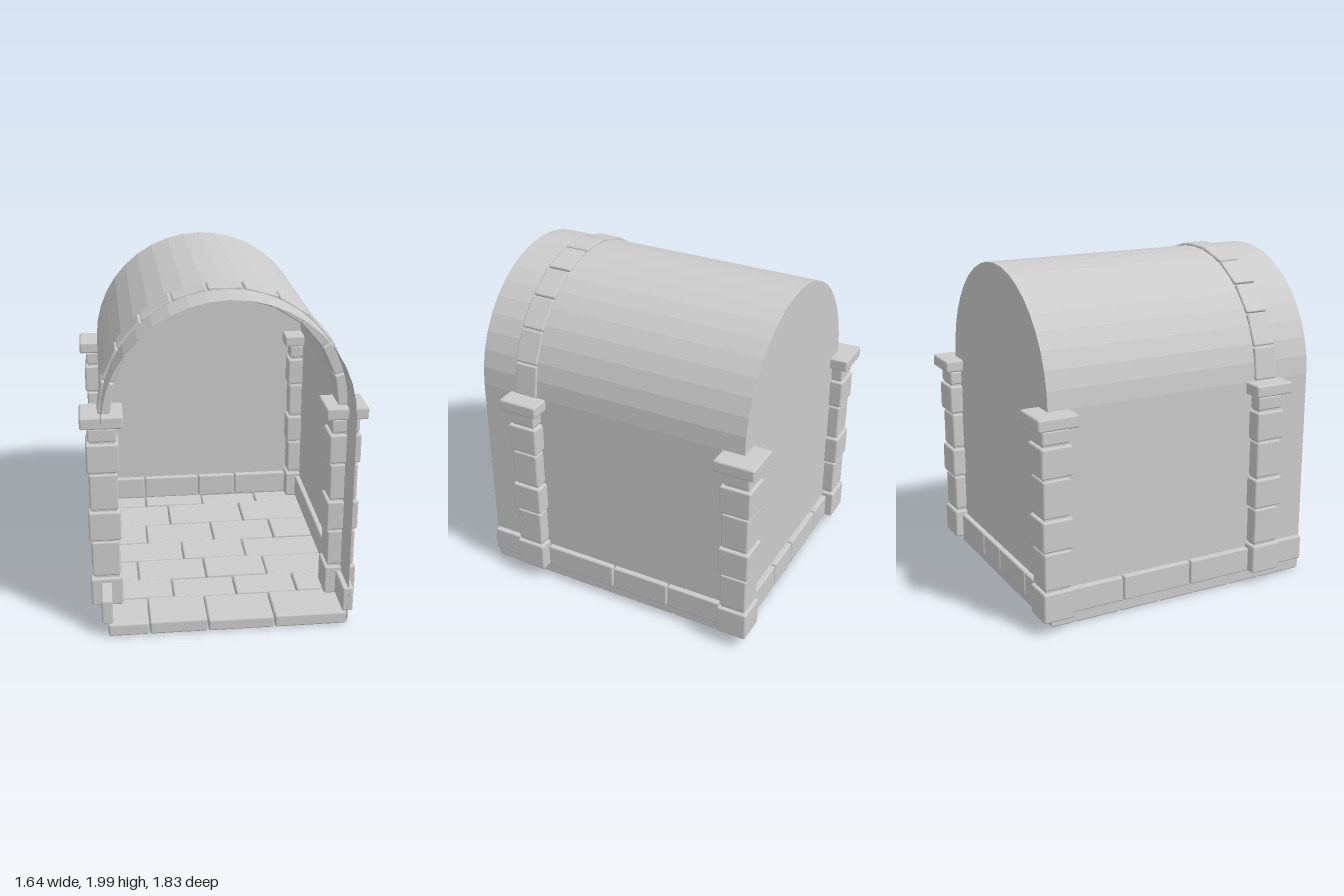
import * as THREE from 'three';
import { RoundedBoxGeometry } from 'three/addons/geometries/RoundedBoxGeometry.js';

const stone = new THREE.MeshStandardMaterial({ color: 0xcccccc });
const shellStone = new THREE.MeshStandardMaterial({ color: 0xcccccc, side: THREE.DoubleSide, flatShading: true });

const HALF = 0.7, SPRING = 1.285, BACK = -0.8, FRONT = 0.915;

// Chamfered stone given by its min and max corners
function block(name, x0, x1, y0, y1, z0, z1, bevel = 0.01) {
  const mesh = new THREE.Mesh(new RoundedBoxGeometry(x1 - x0, y1 - y0, z1 - z0, 1, bevel), stone);
  mesh.position.set((x0 + x1) / 2, (y0 + y1) / 2, (z0 + z1) / 2);
  mesh.name = name;
  return mesh;
}

// Thin tunnel shell (walls and vault) and the flat wall closing its back
function makeShell() {
  const shell = new THREE.Group();
  shell.name = 'shell';
  const outline = [new THREE.Vector2(HALF, 0.015)];
  const steps = 20;
  for (let i = 0; i <= steps; i++) {
    const a = (i / steps) * Math.PI;
    outline.push(new THREE.Vector2(HALF * Math.cos(a), SPRING + HALF * Math.sin(a)));
  }
  outline.push(new THREE.Vector2(-HALF, 0.015));

  const pos = [], index = [];
  outline.forEach((p, i) => {
    pos.push(p.x, p.y, FRONT, p.x, p.y, BACK);
    if (i) {
      const a = 2 * (i - 1);
      index.push(a, a + 1, a + 2, a + 1, a + 3, a + 2);
    }
  });
  const geo = new THREE.BufferGeometry();
  geo.setAttribute('position', new THREE.Float32BufferAttribute(pos, 3));
  geo.setIndex(index);
  geo.computeVertexNormals();
  const vault = new THREE.Mesh(geo, shellStone);
  vault.name = 'vault';

  const back = new THREE.Mesh(new THREE.ShapeGeometry(new THREE.Shape(outline)), shellStone);
  back.name = 'backWall';
  back.position.z = BACK;
  shell.add(vault, back);
  return shell;
}

// Paving in staggered rows
function makeFloor() {
  const floor = new THREE.Group();
  floor.name = 'floor';
  const rows = [FRONT, 0.62, 0.4, 0.15, -0.09, -0.36, -0.65, BACK];
  const joints = [
    [-0.46, -0.12, 0.27], [-0.3, 0.08, 0.45], [-0.5, -0.08, 0.3], [-0.2, 0.2],
    [-0.42, 0.02, 0.42], [-0.25, 0.25], [-0.4, 0.0, 0.38],
  ];
  joints.forEach((row, r) => {
    const xs = [-HALF, ...row, HALF];
    for (let i = 1; i < xs.length; i++) {
      const top = 0.074 + 0.004 * ((i + r) % 3);
      floor.add(block('pavingSlab', xs[i - 1] + 0.003, xs[i] - 0.003, 0.002, top,
        rows[r + 1] + 0.003, rows[r] - 0.003, 0.012));
    }
  });
  return floor;
}

// Low course of stones around the foot of the walls
function makeSkirting() {
  const group = new THREE.Group();
  group.name = 'skirting';
  const sides = [[1, [BACK, -0.335, 0.04, 0.51, FRONT]], [-1, [BACK, -0.35, 0.1, 0.56, FRONT]]];
  for (const [s, zs] of sides) {
    for (let i = 1; i < zs.length; i++) {
      group.add(block('sideSkirtingStone', s * 0.7 - 0.032, s * 0.7 + 0.032, 0.085, 0.236,
        zs[i - 1] + 0.004, zs[i] - 0.004));
    }
  }
  const xs = [-HALF, -0.4, -0.02, 0.24, HALF];
  for (let i = 1; i < xs.length; i++) {
    group.add(block('backSkirtingStone', xs[i - 1] + 0.004, xs[i] - 0.004, 0.085, 0.236, -0.832, -0.768));
  }
  return group;
}

// Pillar of alternating wide and narrow stones with a cap slab
function makePillar(x, z) {
  const pillar = new THREE.Group();
  pillar.name = 'pillar';
  const courses = [
    [0.085, 0.263, 0.094], [0.275, 0.497, 0.083], [0.508, 0.69, 0.094], [0.7, 0.922, 0.083],
    [0.934, 1.11, 0.094], [1.12, 1.203, 0.083], [1.212, 1.285, 0.123],
  ];
  courses.forEach(([y0, y1, h], i) =>
    pillar.add(block(i === 6 ? 'pillarCap' : 'pillarStone', -h, h, y0, y1, -h, h, 0.012)));
  const core = new THREE.Mesh(new THREE.BoxGeometry(0.145, 1.14, 0.145), stone);
  core.name = 'pillarCore';
  core.position.y = 0.67;
  pillar.add(core);
  pillar.position.set(x, 0, z);
  return pillar;
}

// Ring of wedge stones springing from the front pillars
function makeArch() {
  const arch = new THREE.Group();
  arch.name = 'arch';
  const count = 11, step = Math.PI / count, mid = 0.675, thick = 0.072;
  const width = 2 * mid * Math.tan(step / 2) - 0.008;
  const geo = new RoundedBoxGeometry(width, thick, 0.146, 1, 0.01);
  const p = geo.attributes.position;
  for (let i = 0; i < p.count; i++) p.setX(i, p.getX(i) * (1 + p.getY(i) / mid));
  for (let i = 0; i < count; i++) {
    const a = (i + 0.5) * step;
    const stoneMesh = new THREE.Mesh(geo, stone);
    stoneMesh.name = 'archStone';
    stoneMesh.position.set(mid * Math.cos(a), SPRING + mid * Math.sin(a), 0.61);
    stoneMesh.rotation.z = a - Math.PI / 2;
    arch.add(stoneMesh);
  }
  return arch;
}

export function createModel() {
  const model = new THREE.Group();
  model.name = 'vaultedAlcove';
  model.add(makeShell(), makeFloor(), makeSkirting(), makeArch());
  for (const s of [-1, 1]) {
    model.add(makePillar(s * 0.695, 0.605), makePillar(s * 0.695, -0.787));
  }
  return model;
}
